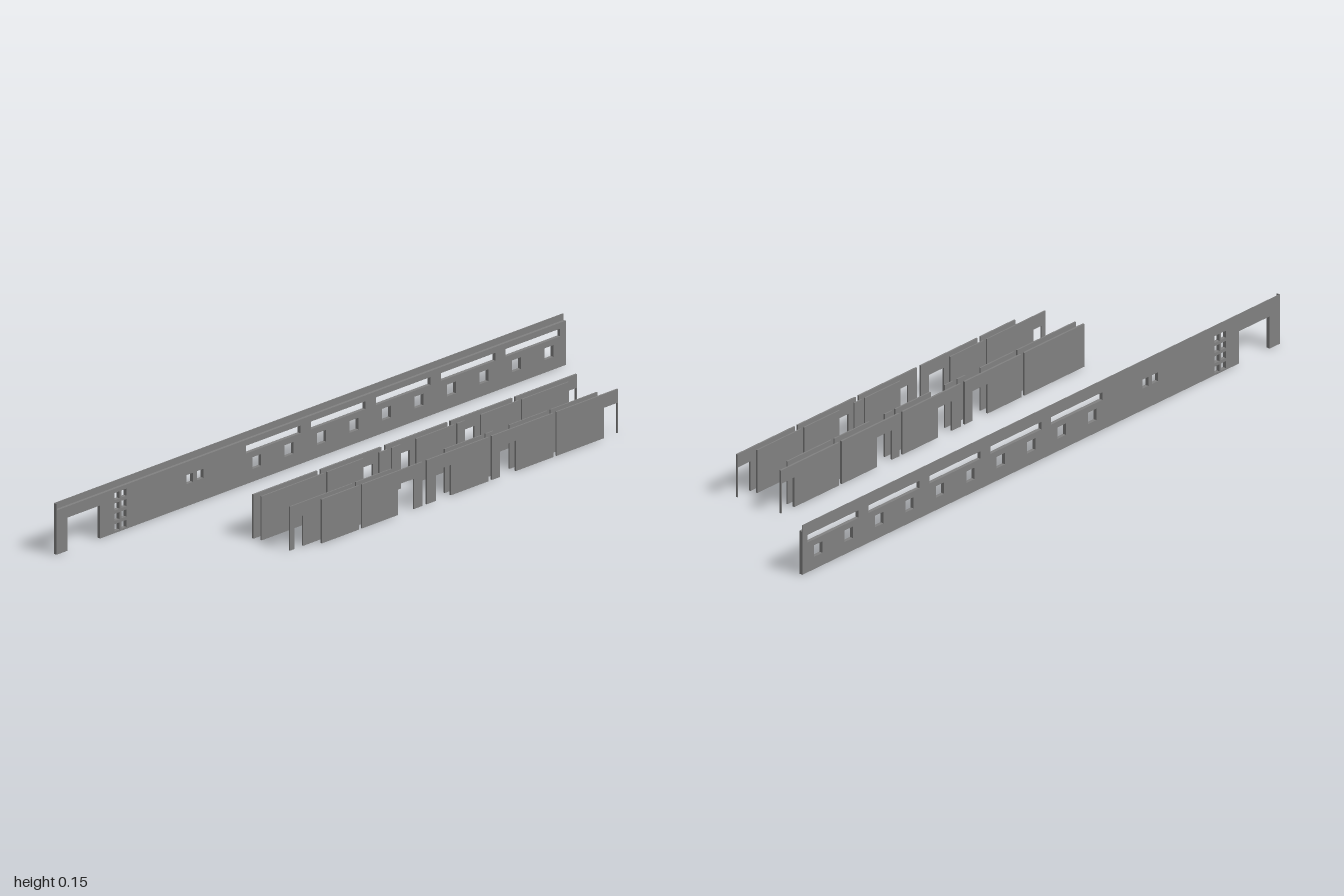
import * as THREE from 'three';

const material = new THREE.MeshStandardMaterial({ color: 0x808080 });

// Upright slab in the xy plane: doors are notches [x0, x1, top], holes are [x0, x1, y0, y1].
function slab(name, x0, x1, height, zBack, depth, doors = [], holes = []) {
  const shape = new THREE.Shape();
  shape.moveTo(x0, 0);
  for (const [a, b, top] of doors) {
    shape.lineTo(a, 0);
    shape.lineTo(a, top);
    shape.lineTo(b, top);
    shape.lineTo(b, 0);
  }
  shape.lineTo(x1, 0);
  shape.lineTo(x1, height);
  shape.lineTo(x0, height);
  shape.closePath();
  for (const [a, b, c, d] of holes) {
    const hole = new THREE.Path();
    hole.moveTo(a, c);
    hole.lineTo(a, d);
    hole.lineTo(b, d);
    hole.lineTo(b, c);
    hole.closePath();
    shape.holes.push(hole);
  }
  const geometry = new THREE.ExtrudeGeometry(shape, { depth, bevelEnabled: false });
  geometry.translate(0, 0, zBack);
  const mesh = new THREE.Mesh(geometry, material);
  mesh.name = name;
  return mesh;
}

function box(name, w, h, d, x, y, z) {
  const mesh = new THREE.Mesh(new THREE.BoxGeometry(w, h, d), material);
  mesh.position.set(x, y, z);
  mesh.name = name;
  return mesh;
}

const around = (x, y, w, h) => [x - w / 2, x + w / 2, y - h / 2, y + h / 2];

function createBackWall() {
  const group = new THREE.Group();
  group.name = 'backWall';
  const holes = [];
  // Ten square windows
  for (let i = 0; i < 10; i++) holes.push(around(-0.214 + i * 0.1275, 0.055, 0.035, 0.035));
  // Five long clerestory windows
  for (let i = 0; i < 5; i++) holes.push(around(-0.149 + i * 0.255, 0.102, 0.214, 0.023));
  // Stairwell window grid
  for (const x of [-0.763, -0.736])
    for (let r = 0; r < 4; r++) holes.push(around(x, 0.016 + r * 0.0308, 0.02, 0.021));
  // Small window pair
  for (const x of [-0.477, -0.436]) holes.push(around(x, 0.079, 0.025, 0.027));
  // Wall with gateway
  group.add(slab('wall', -1, 1, 0.131, -0.236, 0.011, [[-0.957, -0.829, 0.098]], holes));
  // Thin parapet along the rear edge, with a return at one end
  group.add(box('parapet', 2, 0.019, 0.002, 0, 0.1405, -0.235));
  group.add(box('parapetReturn', 0.002, 0.019, 0.009, -0.999, 0.1405, -0.2295));
  return group;
}

const HEIGHT = 0.13;
const DOOR_TOP = 0.09;
const DOORS = [[-0.128, -0.065], [0.022, 0.08], [0.272, 0.335], [0.682, 0.734]];

// Row of panels; doors falling inside a panel are cut from it.
function createRow(name, panels, zBack, depth, doors) {
  const group = new THREE.Group();
  group.name = name;
  for (const [a, b] of panels) {
    const cuts = doors.filter(([p, q]) => p > a && q < b).map(([p, q]) => [p, q, DOOR_TOP]);
    group.add(slab('panel', a, b, HEIGHT, zBack, depth, cuts));
  }
  return group;
}

export function createModel() {
  const model = new THREE.Group();
  model.add(createBackWall());

  // Outer partitions with doorways
  const shared = [[-0.269, -0.032], [-0.015, 0.228], [0.241, 0.483], [0.495, 0.737]];
  model.add(createRow('frontOuterPartition', [[-0.427, -0.282], ...shared], 0.231, 0.005, DOORS));
  model.add(createRow('rearOuterPartition', [[-0.533, -0.282], ...shared], 0.071, 0.006, DOORS));

  // Inner linings, open at the doorways
  const lining = [
    [-0.527, -0.282], [-0.269, -0.128], [0.08, 0.228], [0.241, 0.272], [0.335, 0.483], [0.495, 0.68],
  ];
  model.add(createRow('frontLining', lining, 0.208, 0.004, [[-0.511, -0.476]]));
  model.add(createRow('rearLining', [...lining, [-0.065, -0.032], [-0.015, 0.02]], 0.0975, 0.0045, []));
  return model;
}
